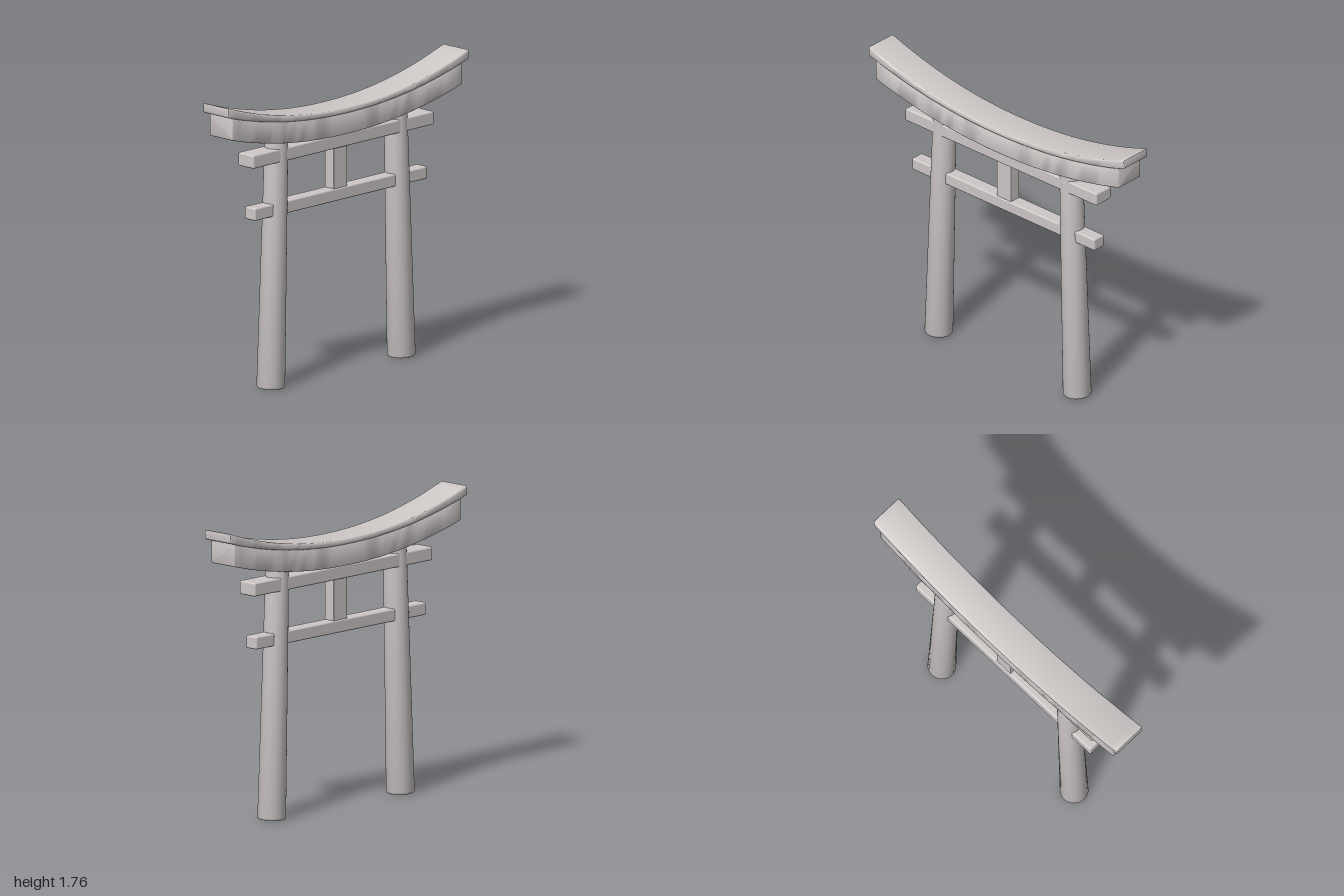
import * as THREE from 'three';
import { toCreasedNormals } from 'three/addons/utils/BufferGeometryUtils.js';
import { RoundedBoxGeometry } from 'three/addons/geometries/RoundedBoxGeometry.js';

// Rounded rectangle section swept along x; bottom(x) and top(x) give its height
function curvedBeam(halfLength, halfDepth, bottom, top, bevel, segments = 40) {
  const stations = [[-halfLength, bevel], [-halfLength + bevel * 0.3, bevel * 0.3]];
  const inner = halfLength - bevel;
  for (let i = 0; i <= segments; i++) stations.push([-inner + (2 * inner * i) / segments, 0]);
  stations.push([halfLength - bevel * 0.3, bevel * 0.3], [halfLength, bevel]);

  const positions = [], index = [], arc = 3, n = 4 * (arc + 1);
  for (const [x, inset] of stations) {
    const low = bottom(x) + inset, high = top(x) - inset, d = halfDepth - inset;
    const r = Math.max(bevel - inset, 0.002);
    for (let c = 0; c < 4; c++) {
      for (let k = 0; k <= arc; k++) {
        const a = (c + k / arc) * Math.PI / 2;
        const z = (c === 0 || c === 3) ? -d + r : d - r;
        const y = c < 2 ? high - r : low + r;
        positions.push(x, y + r * Math.sin(a), z - r * Math.cos(a));
      }
    }
  }
  const last = stations.length - 1;
  for (let i = 0; i < last; i++) {
    for (let j = 0; j < n; j++) {
      const a = i * n + j, b = i * n + (j + 1) % n;
      index.push(a, b, a + n, b, b + n, a + n);
    }
  }
  for (let j = 1; j < n - 1; j++) {
    index.push(0, j + 1, j);
    index.push(last * n, last * n + j, last * n + j + 1);
  }
  const geometry = new THREE.BufferGeometry();
  geometry.setAttribute('position', new THREE.Float32BufferAttribute(positions, 3));
  geometry.setIndex(index);
  return toCreasedNormals(geometry, 0.8);
}

export function createModel() {
  const gate = new THREE.Group();
  gate.name = 'gate';
  const stone = new THREE.MeshStandardMaterial({ color: 0xcdc7c6 });
  stone.name = 'pale stone';

  const add = (name, geometry, x = 0, y = 0, z = 0) => {
    const mesh = new THREE.Mesh(geometry, stone);
    mesh.name = name;
    mesh.position.set(x, y, z);
    gate.add(mesh);
    return mesh;
  };
  const rise = (base, amount) => (x) => base + amount * Math.pow(Math.abs(x), 2.1);

  // Upswept top slab and the deeper lintel beneath it
  add('topSlab', curvedBeam(1, 0.105, rise(1.56, 0.145), rise(1.593, 0.17), 0.01));
  add('curvedLintel', curvedBeam(0.955, 0.094, rise(1.432, 0.142), rise(1.57, 0.14), 0.008));

  // Straight tie beams and the short strut between them
  add('upperTieBeam', new RoundedBoxGeometry(1.5, 0.08, 0.126, 3, 0.01), 0, 1.39);
  add('lowerTieBeam', new RoundedBoxGeometry(1.432, 0.075, 0.086, 3, 0.01), 0, 1.067);
  add('centreStrut', new RoundedBoxGeometry(0.112, 0.28, 0.072, 2, 0.004), 0, 1.225);

  // Tapered pillars leaning inward
  const profile = [[0, 0], [0.077, 0], [0.081, 0.003], [0.083, 0.01], [0.068, 1.49], [0, 1.49]]
    .map(([r, y]) => new THREE.Vector2(r, y));
  const pillar = toCreasedNormals(new THREE.LatheGeometry(profile, 40), 0.8);
  for (const side of [1, -1]) {
    const mesh = add(side > 0 ? 'leftPillar' : 'rightPillar', pillar, side * 0.542, 0.003);
    mesh.rotation.z = side * 0.032;
  }
  return gate;
}
